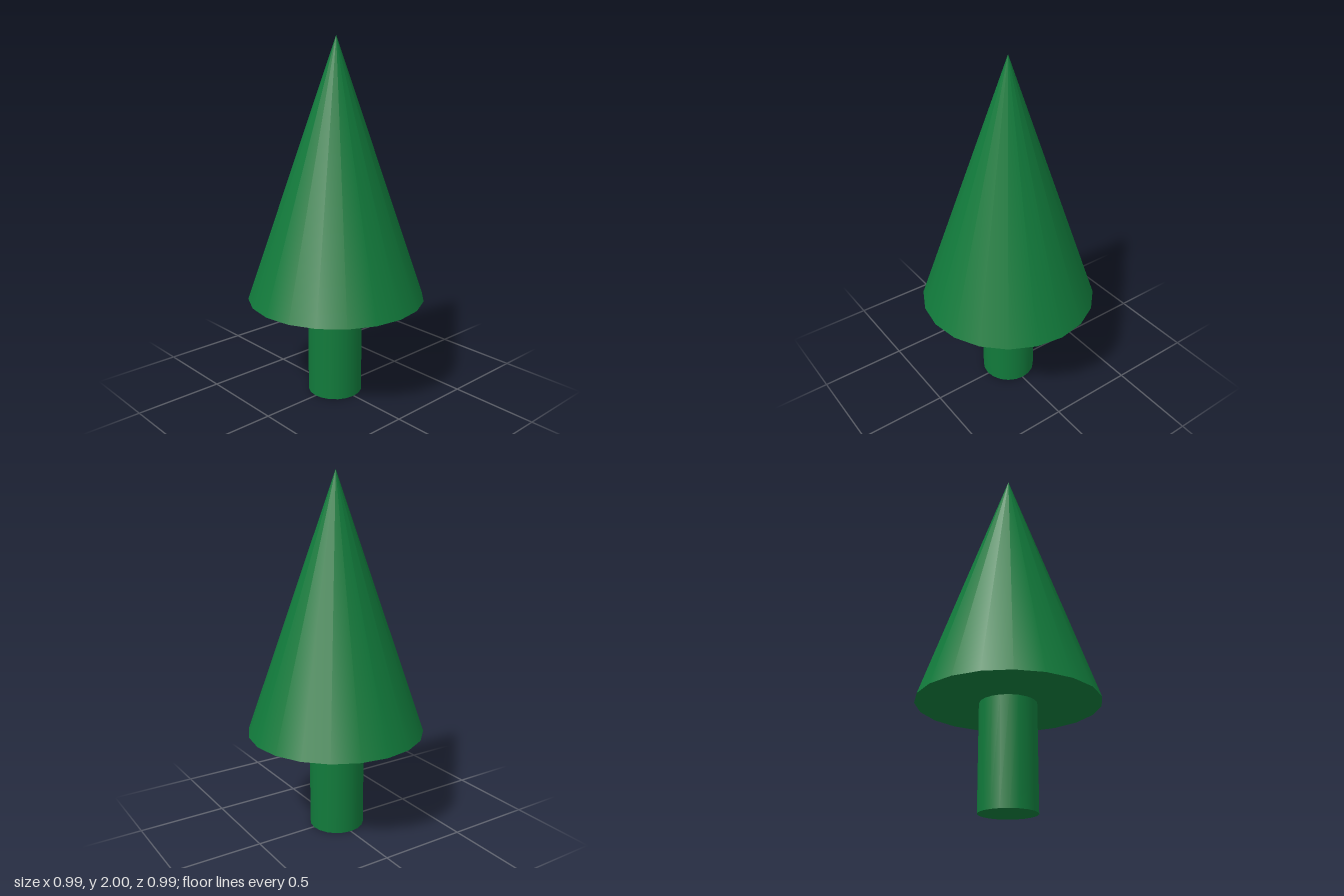
import * as THREE from 'three';

export function createModel() {
  const tree = new THREE.Group();
  tree.name = 'tree';
  const green = new THREE.MeshStandardMaterial({ color: 0x117a3b });
  const sides = 20;
  const trunkHeight = 0.57;
  const crownHeight = 2 - trunkHeight;

  // Straight trunk, set a hair off the crown's axis
  const trunk = new THREE.Mesh(
    new THREE.CylinderGeometry(0.154, 0.154, trunkHeight, sides), green);
  trunk.name = 'trunk';
  trunk.position.set(-0.005, trunkHeight / 2, 0.004);

  // Pointed crown with a closed base
  const crown = new THREE.Mesh(
    new THREE.ConeGeometry(0.495, crownHeight, sides), green);
  crown.name = 'crown';
  crown.position.y = trunkHeight + crownHeight / 2;

  tree.add(trunk, crown);
  return tree;
}
